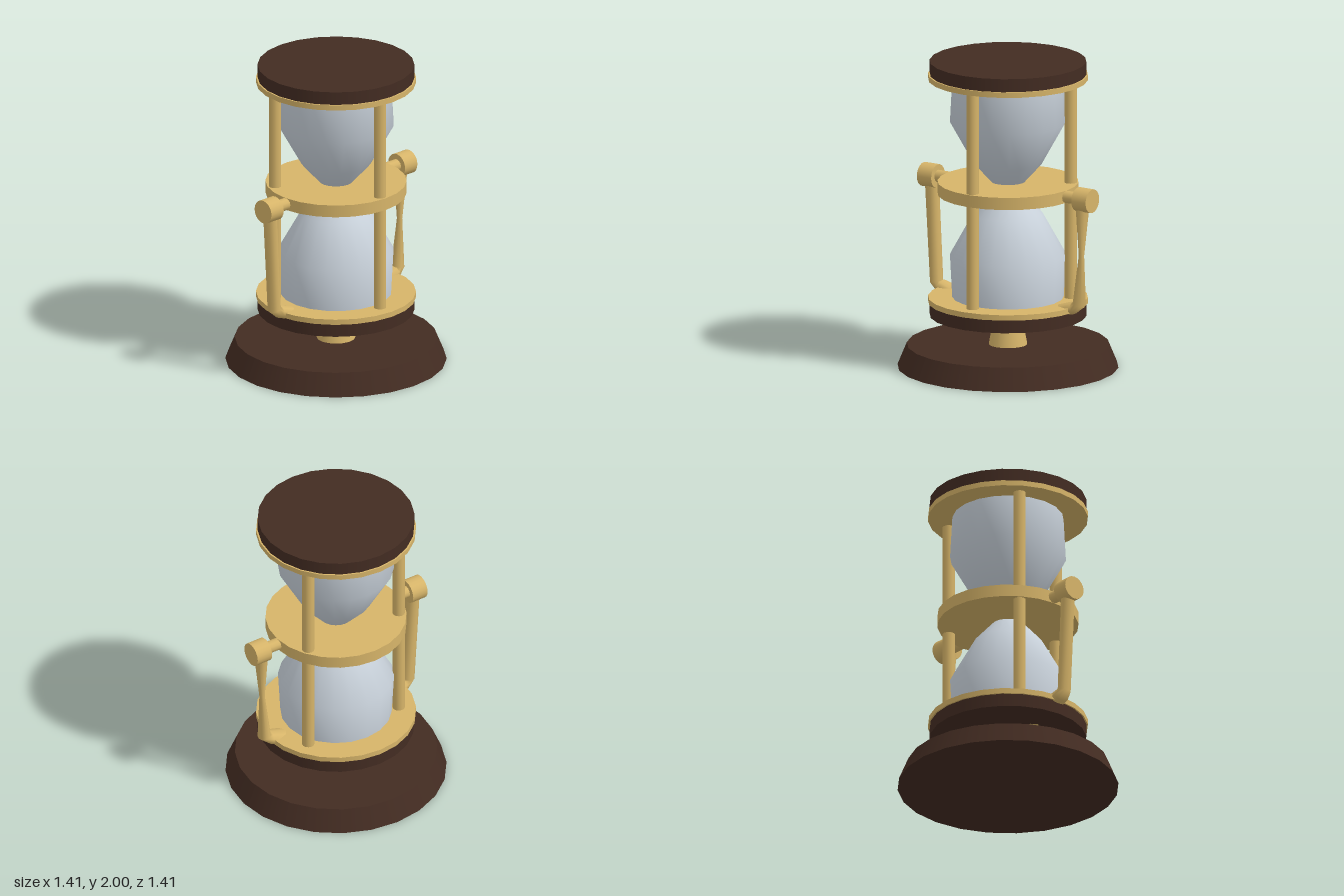
import * as THREE from 'three';

const wood = new THREE.MeshStandardMaterial({ color: 0x432c22 });
wood.name = 'dark wood';
const brass = new THREE.MeshStandardMaterial({ color: 0xd6b469 });
brass.name = 'brass';
const glass = new THREE.MeshStandardMaterial({ color: 0xc9d2db });
glass.name = 'pale glass';

// Upright round part between two heights
function disc(name, material, rBottom, rTop, y0, y1, sides = 24) {
  const mesh = new THREE.Mesh(new THREE.CylinderGeometry(rTop, rBottom, y1 - y0, sides), material);
  mesh.position.y = (y0 + y1) / 2;
  mesh.name = name;
  return mesh;
}

// Round part lying along x
function pin(name, radius, x0, x1, y, sides) {
  const geometry = new THREE.CylinderGeometry(radius, radius, Math.abs(x1 - x0), sides).rotateZ(Math.PI / 2);
  const mesh = new THREE.Mesh(geometry, brass);
  mesh.position.set((x0 + x1) / 2, y, 0);
  mesh.name = name;
  return mesh;
}

// Bent arm lofted through elliptical sections: [x, y, section tilt in degrees, in-plane radius, z radius]
function arm(side, sections) {
  const sides = 10, points = [], index = [];
  sections.forEach(([x, y, tilt, r, rz], i) => {
    const a = THREE.MathUtils.degToRad(tilt);
    for (let k = 0; k < sides; k++) {
      const t = (k / sides) * Math.PI * 2;
      const d = Math.cos(t) * r;
      points.push(side * (x + Math.cos(a) * d), y + Math.sin(a) * d, Math.sin(t) * rz);
      if (i === 0) continue;
      const p = (i - 1) * sides + k, q = (i - 1) * sides + (k + 1) % sides;
      if (side > 0) index.push(p, q + sides, q, p, p + sides, q + sides);
      else index.push(p, q, q + sides, p, q + sides, p + sides);
    }
  });
  const geometry = new THREE.BufferGeometry();
  geometry.setAttribute('position', new THREE.Float32BufferAttribute(points, 3));
  geometry.setIndex(index);
  geometry.computeVertexNormals();
  return new THREE.Mesh(geometry, brass);
}

export function createModel() {
  const model = new THREE.Group();
  model.name = 'hourglass';

  // Stand
  model.add(
    disc('base', wood, 0.705, 0.645, 0, 0.145),
    disc('stem', brass, 0.125, 0.09, 0.14, 0.33, 16),
  );

  // End caps, brass plates and middle plate
  model.add(
    disc('lowerCap', wood, 0.5, 0.5, 0.335, 0.42),
    disc('lowerPlate', brass, 0.51, 0.51, 0.42, 0.455),
    disc('middlePlate', brass, 0.45, 0.45, 1.13, 1.21),
    disc('upperPlate', brass, 0.51, 0.51, 1.88, 1.915),
    disc('upperCap', wood, 0.5, 0.5, 1.915, 2),
  );

  // Two glass bulbs meeting at the neck
  const half = [[0.355, 0.45], [0.37, 0.735], [0.222, 1.0], [0.1, 1.135], [0.06, 1.168]];
  const profile = [
    ...half.map(([r, y]) => new THREE.Vector2(r, y)),
    ...half.slice(0, -1).reverse().map(([r, y]) => new THREE.Vector2(r, 2.336 - y)),
  ];
  const bulbs = new THREE.Mesh(new THREE.LatheGeometry(profile, 20), glass);
  bulbs.name = 'glassBulbs';
  model.add(bulbs);

  // Three upright rods
  for (let i = 0; i < 3; i++) {
    const a = (i / 3) * Math.PI * 2;
    const rod = disc('rod', brass, 0.04, 0.04, 0.44, 1.89, 12);
    rod.position.x = Math.sin(a) * 0.4;
    rod.position.z = Math.cos(a) * 0.4;
    model.add(rod);
  }

  // Cradle arms with pivots; the left one is pinched at mid height
  for (const side of [-1, 1]) {
    const upper = side > 0
      ? [[0.566, 0.8, -8, 0.017, 0.018], [0.574, 1.13, -3, 0.042, 0.05]]
      : [[0.586, 1.13, -3, 0.045, 0.045]];
    const cradle = arm(side, [
      [0, 0.285, -72, 0.045, 0.07],
      [0.46, 0.435, -72, 0.042, 0.068],
      [0.515, 0.455, -72, 0.04, 0.06],
      [0.55, 0.48, -15, 0.042, 0.045],
      ...upper,
    ]);
    cradle.name = side > 0 ? 'leftArm' : 'rightArm';
    model.add(
      cradle,
      pin('pivotShaft', 0.04, side * 0.42, side * 0.56, 1.17, 12),
      pin('pivotKnob', 0.077, side * 0.54, side * 0.65, 1.168, 20),
    );
  }
  return model;
}
